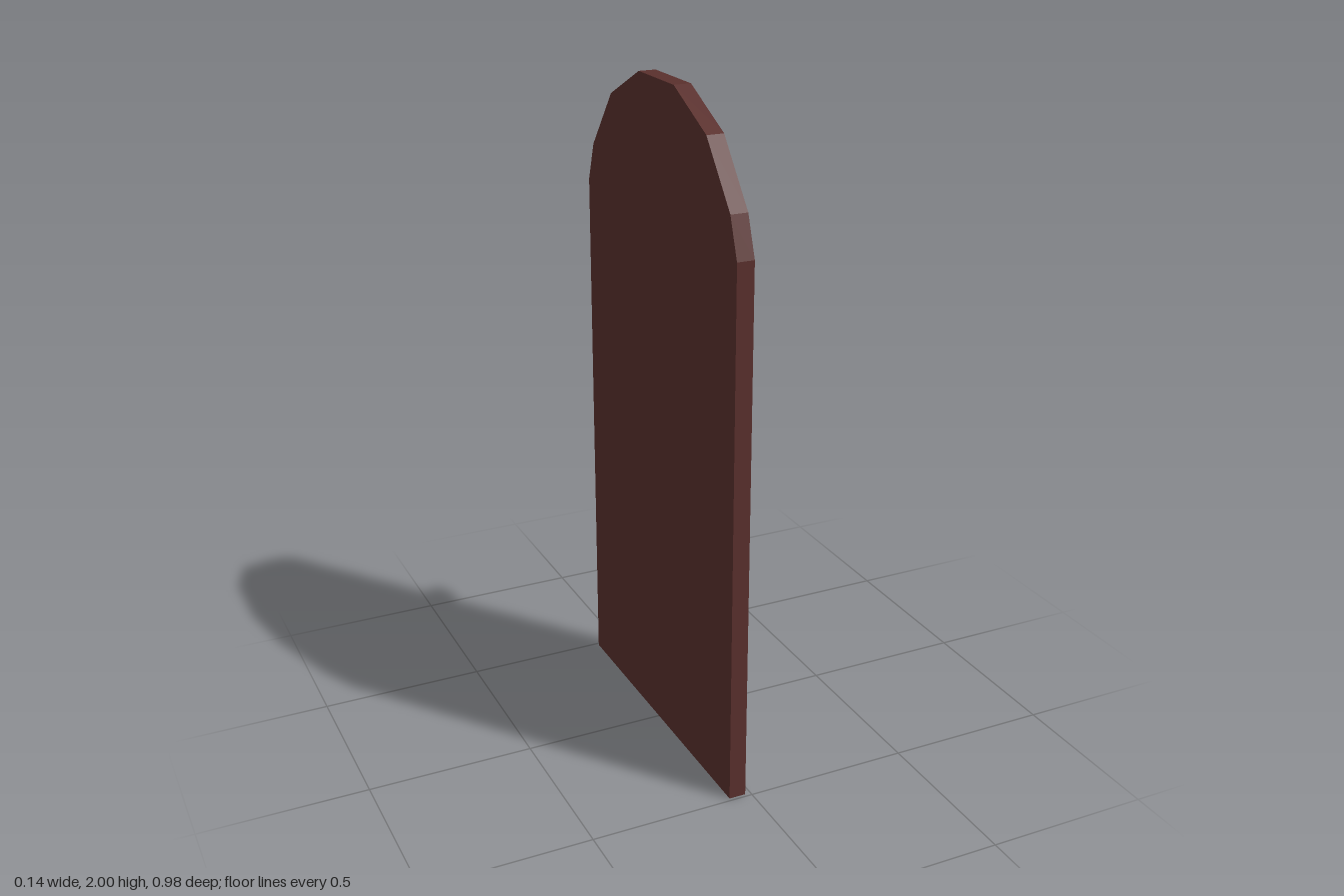
import * as THREE from 'three';

const FRONT = -0.017, BACK = -0.068, GROOVE = -0.048, FIELD = -0.028;

// Doubles a right-hand profile into a full counter-clockwise mirrored outline
const mirror = (pts) => pts.map(([u, v]) => [-u, v]).reverse();

// Band of quads joining two counter-clockwise loops at two depths
function loft(a, b, za, zb, material, name) {
  const pos = [];
  a.forEach((_, i) => {
    const j = (i + 1) % a.length;
    const p = [...a[i], za], q = [...a[j], za], r = [...b[j], zb], s = [...b[i], zb];
    pos.push(...p, ...q, ...r, ...p, ...r, ...s);
  });
  const geo = new THREE.BufferGeometry();
  geo.setAttribute('position', new THREE.Float32BufferAttribute(pos, 3));
  geo.computeVertexNormals();
  const mesh = new THREE.Mesh(geo, material);
  mesh.name = name;
  return mesh;
}

// Flat face with optional holes
function face(loop, z, material, name, holes = []) {
  const toPoints = (l) => l.map(([u, v]) => new THREE.Vector2(u, v));
  const shape = new THREE.Shape(toPoints(loop));
  holes.forEach((h) => shape.holes.push(new THREE.Path(toPoints(h))));
  const mesh = new THREE.Mesh(new THREE.ShapeGeometry(shape), material);
  mesh.position.z = z;
  mesh.name = name;
  return mesh;
}

const rect = (l, b, r, t) => [[l, b], [r, b], [r, t], [l, t]];

export function createModel() {
  const wood = new THREE.MeshStandardMaterial({ color: 0x5a302d, flatShading: true });
  const brass = new THREE.MeshStandardMaterial({ color: 0xa98f0c, flatShading: true });
  const model = new THREE.Group();
  model.name = 'archedDoor';

  // Door drawn in the XY plane, then turned so its panelled face looks along +x
  const door = new THREE.Group();
  door.name = 'door';
  door.rotation.y = Math.PI / 2;
  model.add(door);

  const half = [[0.49, 0], [0.49, 1.615], [0.45, 1.73], [0.31, 1.905], [0.113, 2]];
  const outline = [...half, ...mirror(half)];

  // Each panel: opening edge, groove bottom, raised field edge
  const lower = [
    rect(0.048, 0.048, 0.433, 0.9),
    rect(0.087, 0.08, 0.396, 0.865),
    rect(0.113, 0.11, 0.366, 0.835),
  ];
  const upper = [
    [[0.048, 1.02], [0.433, 1.02], [0.433, 1.63], [0.405, 1.715], [0.288, 1.858], [0.088, 1.955], [0.048, 1.925]],
    [[0.087, 1.05], [0.396, 1.05], [0.396, 1.625], [0.37, 1.7], [0.265, 1.835], [0.093, 1.922], [0.087, 1.918]],
    [[0.113, 1.075], [0.366, 1.075], [0.366, 1.615], [0.342, 1.69], [0.248, 1.812], [0.119, 1.898], [0.113, 1.894]],
  ];
  const panels = [
    { name: 'lowerRightPanel', loops: lower },
    { name: 'lowerLeftPanel', loops: lower.map(mirror) },
    { name: 'upperRightPanel', loops: upper },
    { name: 'upperLeftPanel', loops: upper.map(mirror) },
  ];

  // Frame: front with openings, edge band, plain back
  door.add(face(outline, FRONT, wood, 'frameFront', panels.map((p) => p.loops[0])));
  door.add(loft(outline, outline, BACK, FRONT, wood, 'doorEdge'));
  const back = face(outline, -BACK, wood, 'doorBack');
  back.rotation.y = Math.PI;
  back.position.z = BACK;
  door.add(back);

  // Recessed panels with raised fields
  for (const { name, loops } of panels) {
    const panel = new THREE.Group();
    panel.name = name;
    panel.add(loft(loops[0], loops[1], FRONT, GROOVE, wood, 'panelMoulding'));
    panel.add(loft(loops[1], loops[2], GROOVE, FIELD, wood, 'panelBevel'));
    panel.add(face(loops[2], FIELD, wood, 'panelField'));
    door.add(panel);
  }

  // Hexagonal knob: stem and head
  const knob = new THREE.Group();
  knob.name = 'doorKnob';
  knob.position.set(0.422, 0.963, 0);
  for (const [name, r, z0, z1] of [['knobStem', 0.034, FRONT, 0.032], ['knobHead', 0.052, 0.032, 0.067]]) {
    const geo = new THREE.CylinderGeometry(r, r, z1 - z0, 6).rotateY(Math.PI / 2).rotateX(Math.PI / 2);
    const mesh = new THREE.Mesh(geo, brass);
    mesh.position.z = (z0 + z1) / 2;
    mesh.name = name;
    knob.add(mesh);
  }
  door.add(knob);
  return model;
}
